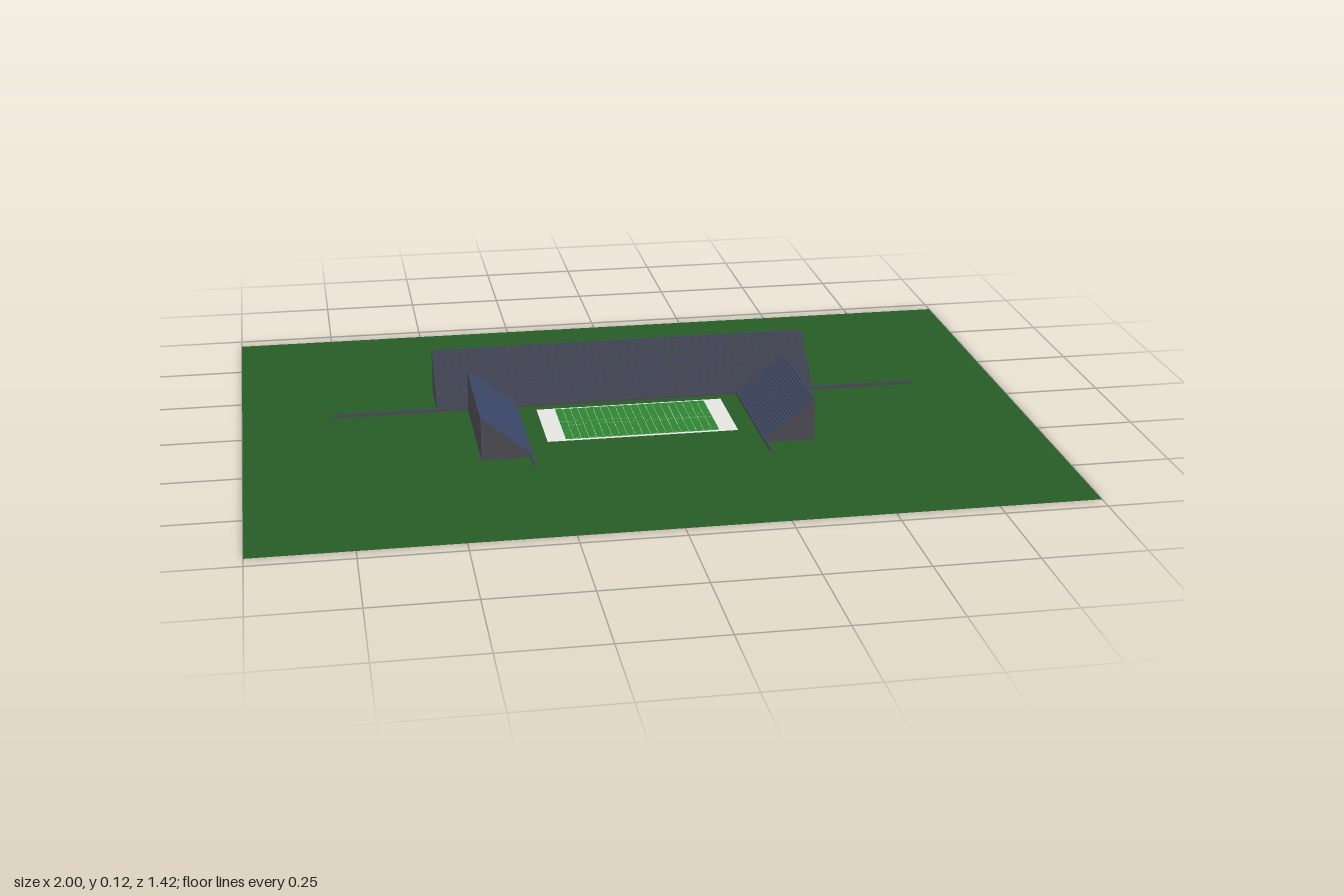
import * as THREE from 'three';
import { mergeGeometries } from 'three/addons/utils/BufferGeometryUtils.js';

const mat = (name, color, side = THREE.FrontSide) => {
  const m = new THREE.MeshStandardMaterial({ color, side });
  m.name = name;
  return m;
};

export function createModel() {
  const model = new THREE.Group();
  model.name = 'stadium';
  const grass = mat('dark grass', 0x265c26, THREE.DoubleSide);
  const turf = mat('field turf', 0x2f8432);
  const white = mat('white paint', 0xe4e4e0);
  const concrete = mat('grey concrete', 0x4e4c55);
  const seats = mat('navy seats', 0x3a4666);

  const add = (parent, name, geometry, material) => {
    const mesh = new THREE.Mesh(geometry, material);
    mesh.name = name;
    parent.add(mesh);
    return mesh;
  };

  // Flat horizontal rectangle, given its centre and size
  const flat = (x, z, w, d, y) =>
    new THREE.PlaneGeometry(w, d).rotateX(-Math.PI / 2).translate(x, y, z);

  add(model, 'ground', flat(0, 0, 2, 1.42, 0), grass);

  // Playing field, measured in yards
  const field = new THREE.Group();
  field.name = 'field';
  model.add(field);
  const yard = 0.00394, zMid = 0.028;
  const rect = (x, z, w, d, y) => flat(x * yard, zMid + z * yard, w * yard, d * yard, y);
  add(field, 'fieldBorder', rect(0, 0, 124, 57.33, 0.0015), white);
  add(field, 'fieldTurf', rect(0, 0, 100, 53.33, 0.0025), turf);

  const lines = [];
  for (let x = -45; x <= 45; x += 5) lines.push(rect(x, 0, 0.2, 53.33, 0.0035));
  const hashes = [];
  for (let x = -49; x <= 49; x++) {
    if (x % 5 === 0) continue;
    for (const z of [-26.2, -3.1, 3.1, 26.2]) hashes.push(rect(x, z, 0.2, 0.7, 0.0035));
  }
  add(field, 'yardLines', mergeGeometries(lines), white);
  add(field, 'hashMarks', mergeGeometries(hashes), white);

  // Box standing on the ground with concrete walls and a seat-coloured top
  const rowMaterials = [concrete, concrete, seats, concrete, concrete, concrete];
  const row = (parent, name, length, height, depth, z) =>
    add(parent, name, new THREE.BoxGeometry(length, height, depth)
      .translate(0, height / 2, z), rowMaterials);

  // Stepped stand rising toward -z from its front edge at z = 0
  function stand(name, length, depth, top, rows = 24) {
    const group = new THREE.Group();
    group.name = name;
    const step = depth / rows;
    for (let i = 0; i < rows; i++) {
      const height = 0.009 + (top - 0.009) * i / (rows - 1);
      row(group, 'seatRow', length, height, step, -(i + 0.5) * step);
    }
    model.add(group);
    return group;
  }

  // Back stand, with its low front row running on past both ends
  const back = stand('backStand', 1, 0.142, 0.122);
  back.position.z = -0.113;
  for (const s of [-1, 1]) {
    const wall = row(back, 'lowWall', 0.27, 0.009, 0.005, -0.003);
    wall.position.x = s * 0.635;
  }

  // Side stands face the field; their front rows run on toward the front
  for (const s of [-1, 1]) {
    const side = stand(s > 0 ? 'leftStand' : 'rightStand', 0.343, 0.128, 0.11);
    side.rotation.y = -s * Math.PI / 2;
    side.position.set(s * 0.292, 0, 0.0595);
    const wall = row(side, 'lowWall', 0.056, 0.009, 0.005, -0.003);
    wall.position.x = s * 0.1995;
  }

  return model;
}
